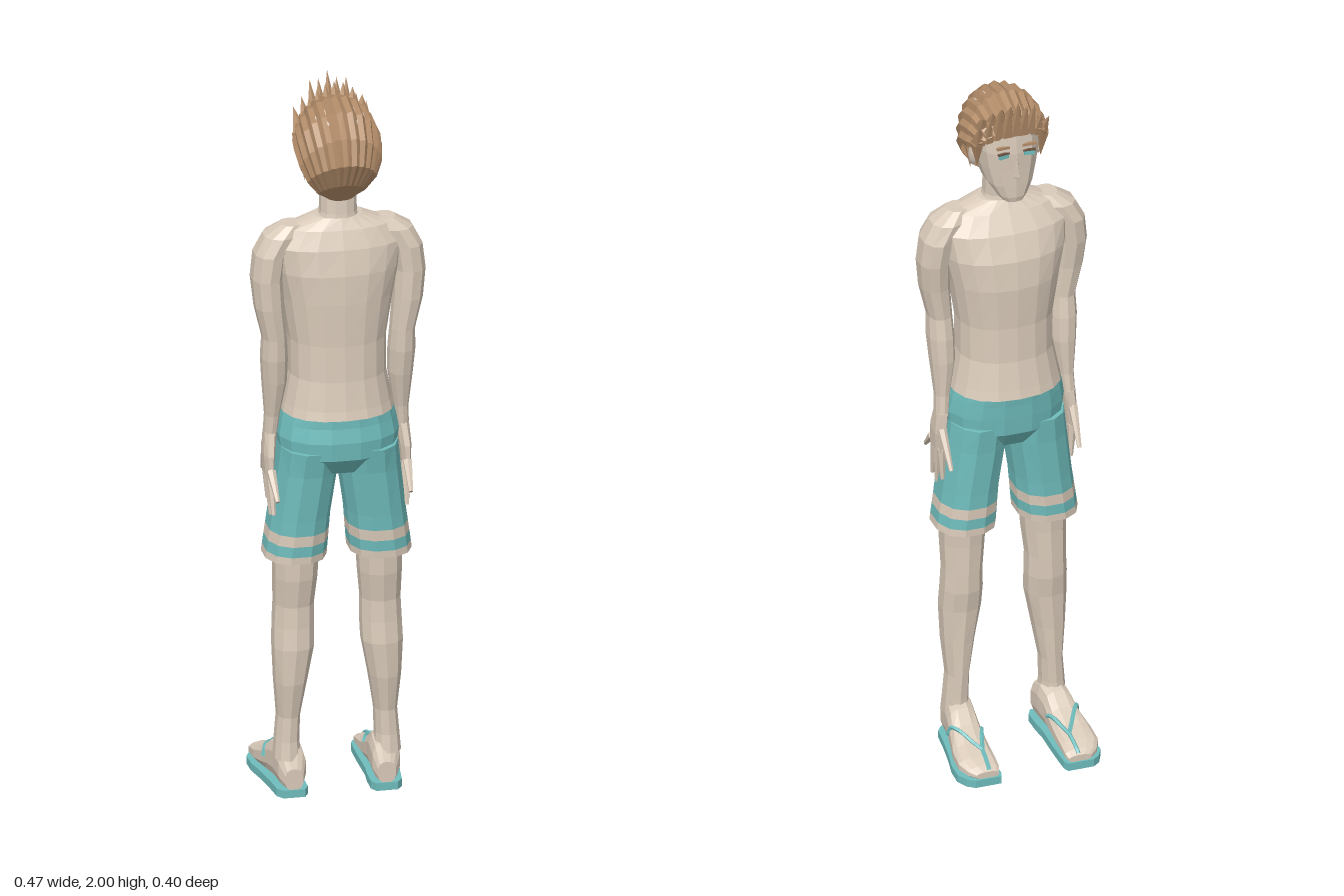
import * as THREE from 'three';

const skin = new THREE.MeshStandardMaterial({ color: 0xdacbba });
skin.name = 'skin';
const teal = new THREE.MeshStandardMaterial({ color: 0x70bdbd });
teal.name = 'teal cloth';
const brown = new THREE.MeshStandardMaterial({ color: 0xb28c69, side: THREE.DoubleSide });
brown.name = 'brown hair';
const dark = new THREE.MeshStandardMaterial({ color: 0x6b5340 });
dark.name = 'dark brown';

const V = (x, y, z) => new THREE.Vector3(x, y, z);
const pw = (v, p) => Math.sign(v) * Math.abs(v) ** (2 / p);

// Faceted geometry from triangle corner points
function facets(points) {
  const g = new THREE.BufferGeometry().setFromPoints(points);
  g.computeVertexNormals();
  return g;
}

// Skin a list of closed rings, with fan caps at both ends
function loft(rings) {
  const out = [], n = rings[0].length;
  const mid = r => r.reduce((s, p) => s.add(p), V(0, 0, 0)).divideScalar(n);
  const c0 = mid(rings[0]), c1 = mid(rings.at(-1));
  for (let j = 0; j < n; j++) {
    const k = (j + 1) % n;
    out.push(c0, rings[0][j], rings[0][k], c1, rings.at(-1)[k], rings.at(-1)[j]);
    for (let i = 0; i + 1 < rings.length; i++) {
      const a = rings[i], b = rings[i + 1];
      out.push(a[j], b[j], a[k], a[k], b[j], b[k]);
    }
  }
  return facets(out);
}

// Body section: [y, centre x, centre z, half width, half depth]
const bodyLoft = (rows, n = 12, p = 2.3) => loft(rows.map(([y, cx, cz, rx, rz]) =>
  Array.from({ length: n }, (_, i) => {
    const a = (i + 0.5) / n * Math.PI * 2;
    return V(cx + rx * pw(Math.cos(a), p), y, cz + rz * pw(Math.sin(a), p));
  })));

// Tapered rod between two points
function rod(a, b, r1, r2, n = 6) {
  const d = b.clone().sub(a);
  const g = new THREE.CylinderGeometry(r2, r1, d.length(), n).toNonIndexed();
  g.applyQuaternion(new THREE.Quaternion().setFromUnitVectors(V(0, 1, 0), d.normalize()));
  g.translate((a.x + b.x) / 2, (a.y + b.y) / 2, (a.z + b.z) / 2);
  g.computeVertexNormals();
  return g;
}

function mirrored(geo) {
  const p = (geo.index ? geo.toNonIndexed() : geo).attributes.position, pts = [];
  for (let i = 0; i < p.count; i += 3)
    for (const k of [0, 2, 1]) pts.push(V(-p.getX(i + k), p.getY(i + k), p.getZ(i + k)));
  return facets(pts);
}

// Foot sections: [z, centre x, half width, height above sole], heel to toe
const footRows = [
  [0.1, 0.125, 0.025, 0.06], [0.08, 0.127, 0.038, 0.11], [0.03, 0.13, 0.041, 0.13],
  [-0.01, 0.135, 0.042, 0.115], [-0.05, 0.138, 0.046, 0.085], [-0.1, 0.143, 0.052, 0.06],
  [-0.15, 0.144, 0.053, 0.045], [-0.18, 0.137, 0.045, 0.032], [-0.195, 0.13, 0.032, 0.02]];

// Height of the foot's upper surface
function footTop(x, z) {
  const i = Math.max(1, footRows.findIndex(r => r[0] <= z));
  const a = footRows[i - 1], b = footRows[i], t = (a[0] - z) / (a[0] - b[0]);
  const [, cx, rx, h] = a.map((v, k) => v + (b[k] - v) * t);
  const d = Math.min(1, Math.abs(x - cx) / rx);
  return 0.02 + h / 2 + h / 2 * (1 - d ** 2.6) ** (1 / 2.6);
}

export function createModel() {
  const model = new THREE.Group();
  model.name = 'standing man';
  const add = (name, geo, mat) => {
    const m = new THREE.Mesh(geo, mat);
    m.name = name;
    model.add(m);
  };
  const pair = (name, geo, mat) => {
    add(name + 'Left', geo, mat);
    add(name + 'Right', mirrored(geo), mat);
  };

  // Torso, neck and head
  add('torso', bodyLoft([
    [1.095, 0, 0.043, 0.152, 0.132], [1.12, 0, 0.043, 0.146, 0.127], [1.2, 0, 0.045, 0.13, 0.115],
    [1.3, 0, 0.045, 0.131, 0.111], [1.42, 0, 0.043, 0.15, 0.115], [1.5, 0, 0.046, 0.168, 0.11],
    [1.57, 0, 0.053, 0.178, 0.09], [1.62, 0, 0.06, 0.14, 0.065], [1.65, 0, 0.062, 0.065, 0.048]], 18), skin);
  add('neck', bodyLoft([[1.62, 0, 0.063, 0.06, 0.052], [1.66, 0, 0.063, 0.05, 0.046],
    [1.76, 0, 0.055, 0.048, 0.046]]), skin);
  add('head', bodyLoft([
    [1.68, 0, -0.018, 0.028, 0.035], [1.695, 0, -0.005, 0.042, 0.052], [1.73, 0, 0.018, 0.064, 0.076],
    [1.78, 0, 0.04, 0.079, 0.099], [1.83, 0, 0.05, 0.088, 0.111], [1.89, 0, 0.05, 0.087, 0.106],
    [1.93, 0, 0.055, 0.07, 0.08], [1.95, 0, 0.06, 0.04, 0.05]], 14, 2.6), skin);

  // Face
  add('nose', loft([[1.758, 0.013, -0.078], [1.77, 0.011, -0.083], [1.825, 0.007, -0.064]].map(
    ([y, w, z]) => [V(w, y, -0.045), V(-w, y, -0.045), V(0, y, z)])), skin);
  const plate = (w, h, x, y, z, turn) =>
    new THREE.BoxGeometry(w, h, 0.008).rotateZ(turn).rotateY(0.2).translate(x, y, z).toNonIndexed();
  pair('eye', plate(0.028, 0.012, 0.036, 1.828, -0.058, 0), teal);
  pair('eyelid', plate(0.034, 0.004, 0.036, 1.836, -0.059, 0.05), dark);
  pair('brow', plate(0.038, 0.007, 0.037, 1.853, -0.057, 0.1), brown);
  pair('ear', new THREE.SphereGeometry(1, 7, 5).scale(0.012, 0.035, 0.022).rotateX(-0.2)
    .translate(0.09, 1.8, 0.03).toNonIndexed(), skin);

  // Ridged hair: [crown y, crown z, edge y, edge z, half width], forehead to nape
  const sections = [
    [1.9, -0.055, 1.86, -0.03, 0.09], [1.945, -0.035, 1.84, -0.01, 0.103], [1.972, 0.04, 1.83, 0.02, 0.114],
    [1.957, 0.115, 1.82, 0.06, 0.118], [1.905, 0.178, 1.79, 0.09, 0.111], [1.835, 0.2, 1.755, 0.105, 0.093],
    [1.765, 0.165, 1.72, 0.1, 0.064], [1.7, 0.11, 1.705, 0.095, 0.035]];
  const cols = 26, hair = [];
  const hairPoint = (i, j) => {
    const [my, mz, ey, ez, w] = sections[i], a = (j / cols - 0.5) * Math.PI;
    const k = j % 2 ? 1.015 : 0.955, c = Math.cos(a) * k;
    return V(w * k * Math.sin(a), ey + (my - ey) * c, ez + (mz - ez) * c);
  };
  for (let i = 0; i + 1 < sections.length; i++)
    for (let j = 0; j < cols; j++) {
      const a = hairPoint(i, j), b = hairPoint(i, j + 1), c = hairPoint(i + 1, j), d = hairPoint(i + 1, j + 1);
      hair.push(a, c, b, b, c, d);
    }
  add('hairCap', facets(hair), brown);

  // Spiky fringe, side locks
  for (let i = -4; i <= 4; i++) {
    const x = 0.022 * i, q = i * i, z = -0.042 + 0.0022 * q, low = i % 2 ? 0.016 : 0;
    add('fringeSpike', rod(V(x, 1.888 - 0.002 * q, z), V(x * 1.12, 2 - 0.0052 * q - low, z - 0.034), 0.021, 0, 5), brown);
    if (i < 4) add('crownSpike', rod(V(x + 0.011, 1.92 - 0.002 * q, z + 0.015),
      V(x * 1.1 + 0.014, 1.975 - 0.004 * q, z - 0.012), 0.02, 0, 5), brown);
  }
  [[-0.008, 1.775, 0.002], [0.015, 1.79, 0.02], [0.07, 1.745, 0.055]].forEach(([z0, y, z]) =>
    pair('sideLock', rod(V(0.092, 1.855, z0), V(0.089, y, z), 0.019, 0, 5), brown));

  // Arms
  pair('arm', bodyLoft([
    [1.02, 0.178, 0.036, 0.018, 0.028], [1.08, 0.174, 0.042, 0.02, 0.028], [1.18, 0.17, 0.052, 0.033, 0.042],
    [1.25, 0.172, 0.06, 0.036, 0.046], [1.31, 0.173, 0.066, 0.033, 0.043], [1.4, 0.187, 0.066, 0.04, 0.05],
    [1.48, 0.193, 0.06, 0.042, 0.057], [1.55, 0.184, 0.057, 0.043, 0.06], [1.6, 0.155, 0.057, 0.046, 0.053],
    [1.63, 0.125, 0.06, 0.03, 0.032]], 10), skin);

  // Hands with spread fingers
  pair('palm', bodyLoft([[0.915, 0.185, 0.048, 0.012, 0.042], [0.97, 0.184, 0.042, 0.016, 0.044],
    [1.03, 0.178, 0.036, 0.018, 0.03]], 8), skin);
  [[0.93, 0.082, 0.868, 0.148], [0.925, 0.064, 0.81, 0.095], [0.92, 0.042, 0.8, 0.062],
    [0.925, 0.018, 0.83, 0.018], [0.985, 0.012, 0.89, -0.05]].forEach(([y0, z0, y1, z1]) =>
    pair('finger', rod(V(0.184, y0, z0), V(0.18, y1, z1), 0.013, 0.006), skin));

  // Shorts with striped legs
  add('shortsSeat', bodyLoft([[0.93, 0, 0.048, 0.11, 0.085], [0.98, 0, 0.05, 0.158, 0.122],
    [1.03, 0, 0.05, 0.164, 0.126], [1.07, 0, 0.045, 0.157, 0.124], [1.105, 0, 0.043, 0.148, 0.126]], 16), teal);
  const hem = y => {
    const t = (y - 0.68) / 0.12;
    return [y, 0.115 - 0.013 * t, 0.043 + 0.002 * t, 0.085 - 0.004 * t, 0.097 + 0.003 * t];
  };
  [[0.68, 0.7, skin], [0.7, 0.73, teal], [0.73, 0.76, skin]].forEach(([a, b, m]) =>
    pair('shortsStripe', bodyLoft([hem(a), hem(b)]), m));
  pair('shortsLeg', bodyLoft([hem(0.76), hem(0.8), [0.93, 0.085, 0.047, 0.083, 0.108],
    [1, 0.08, 0.05, 0.08, 0.118]]), teal);

  // Legs
  pair('leg', bodyLoft([
    [0.1, 0.135, 0.047, 0.037, 0.047], [0.15, 0.135, 0.045, 0.033, 0.043], [0.22, 0.131, 0.044, 0.031, 0.043],
    [0.32, 0.127, 0.052, 0.044, 0.052], [0.42, 0.12, 0.053, 0.056, 0.056], [0.48, 0.118, 0.046, 0.056, 0.057],
    [0.54, 0.117, 0.045, 0.054, 0.056], [0.62, 0.114, 0.052, 0.059, 0.062], [0.72, 0.112, 0.052, 0.063, 0.066]], 10), skin);

  // Feet
  pair('foot', loft(footRows.map(([z, cx, rx, h]) => Array.from({ length: 12 }, (_, i) => {
    const a = (i + 0.5) / 6 * Math.PI;
    return V(cx + rx * pw(Math.cos(a), 2.6), 0.02 + h / 2 * (1 + pw(Math.sin(a), 2.6)), z);
  }))), skin);

  // Sandals: flat sole and forked strap
  const soleRing = y => [
    ...footRows.toReversed().map(([z, cx, rx]) => V(cx + rx + 0.004, y, z * 1.025)),
    ...footRows.map(([z, cx, rx]) => V(cx - rx - 0.004, y, z * 1.025))];
  pair('sandalSole', loft([soleRing(0), soleRing(0.022)]), teal);
  const strap = (x0, z0, x1, z1) => {
    const pts = Array.from({ length: 9 }, (_, i) => {
      const x = x0 + (x1 - x0) * i / 8, z = z0 + (z1 - z0) * i / 8;
      return V(x, footTop(x, z), z);
    });
    const g = new THREE.TubeGeometry(new THREE.CatmullRomCurve3(pts), 14, 0.006, 5).toNonIndexed();
    g.computeVertexNormals();
    pair('sandalStrap', g, teal);
  };
  strap(0.125, -0.192, 0.122, -0.13);
  strap(0.122, -0.13, 0.182, -0.025);
  strap(0.122, -0.13, 0.093, -0.04);
  return model;
}
